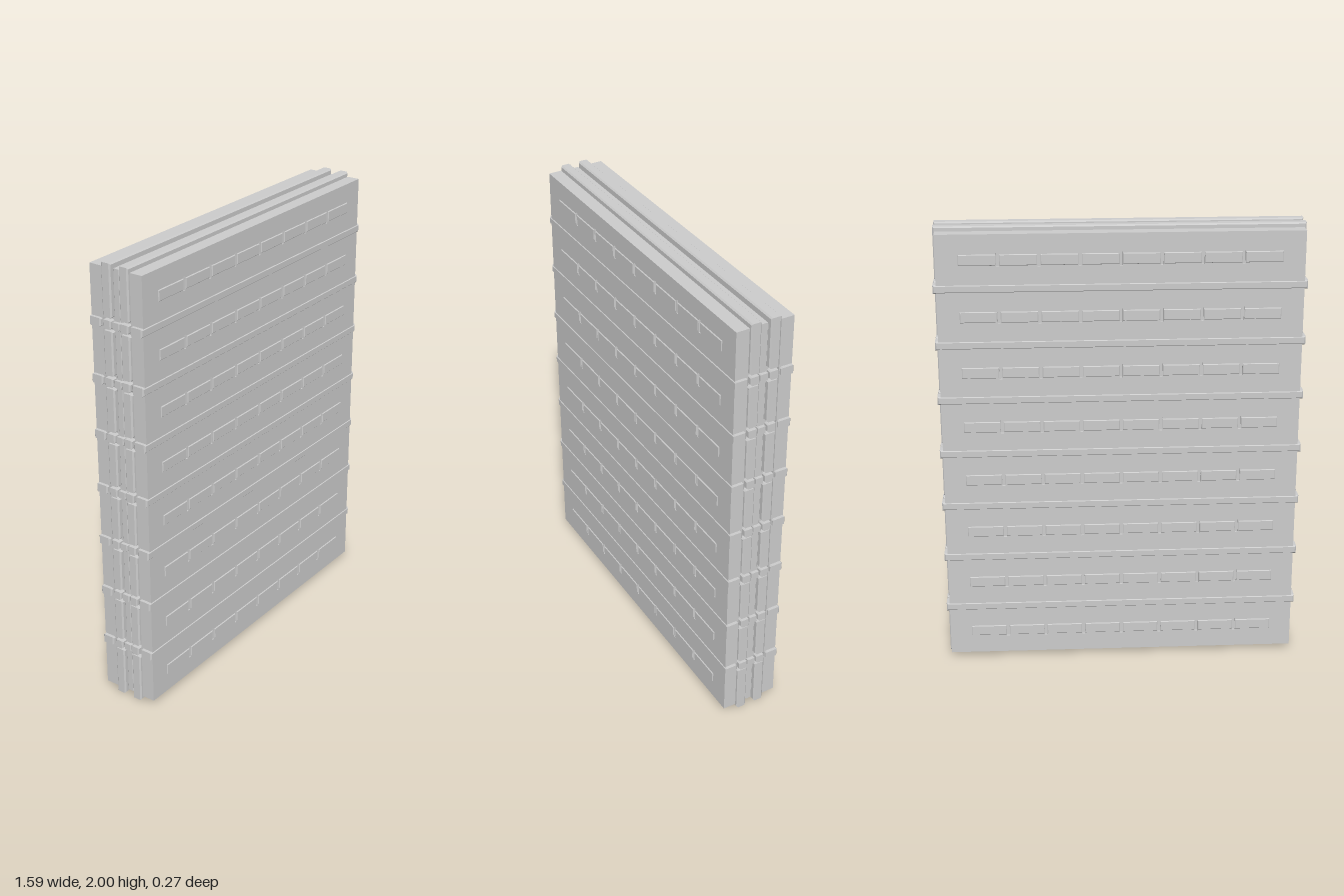
import * as THREE from 'three';

const material = new THREE.MeshStandardMaterial({ color: 0xcccccc, flatShading: true });

function add(parent, name, geometry, x, y, z) {
  const mesh = new THREE.Mesh(geometry, material);
  mesh.name = name;
  mesh.position.set(x, y, z);
  parent.add(mesh);
  return mesh;
}

function rect(target, x0, y0, x1, y1) {
  target.moveTo(x0, y0);
  target.lineTo(x1, y0);
  target.lineTo(x1, y1);
  target.lineTo(x0, y1);
  target.closePath();
  return target;
}

// Box with chamfered edges, centred on its origin
function chamferBox(w, h, d, c) {
  const shape = rect(new THREE.Shape(), -w / 2 + c, -h / 2 + c, w / 2 - c, h / 2 - c);
  const geometry = new THREE.ExtrudeGeometry(shape, {
    depth: d - 2 * c, bevelEnabled: true, bevelSize: c, bevelThickness: c, bevelSegments: 1,
  });
  return geometry.translate(0, 0, -d / 2 + c);
}

export function createModel() {
  const group = new THREE.Group();
  group.name = 'wallPanel';
  const pitch = 0.2485;
  const bandY = Array.from({ length: 7 }, (_, i) => 1 + (i - 3) * pitch);
  const rowY = Array.from({ length: 8 }, (_, i) => 1 + (i - 3.5) * pitch);
  const brickPitch = 0.1735;

  // Recessed core with a slightly raised centre strip
  add(group, 'core', new THREE.BoxGeometry(1.54, 1.94, 0.15), 0, 1, 0);
  add(group, 'centreStrip', chamferBox(1.56, 1.96, 0.03, 0.003), 0, 1, 0);

  // Facing sheet pierced by the slots between bricks
  const sheetShape = rect(new THREE.Shape(), -0.783, 0.02, 0.783, 1.98);
  for (const y of rowY) {
    for (let i = -3; i <= 3; i++) {
      const x = i * brickPitch;
      sheetShape.holes.push(rect(new THREE.Path(), x - 0.006, y - 0.03, x + 0.006, y + 0.03));
    }
  }
  const sheetGeometry = new THREE.ExtrudeGeometry(sheetShape, { depth: 0.01, bevelEnabled: false });
  const slabGeometry = new THREE.BoxGeometry(1.566, 1.96, 0.05);
  const brickGeometry = chamferBox(brickPitch - 0.014, 0.048, 0.012, 0.003);
  const ribBar = chamferBox(1.58, 0.04, 0.046, 0.006);
  const bandOuter = chamferBox(1.594, 0.038, 0.058, 0.006);
  const bandInner = chamferBox(1.594, 0.038, 0.04, 0.005);

  for (const s of [1, -1]) {
    const side = new THREE.Group();
    side.name = s > 0 ? 'frontHalf' : 'backHalf';
    side.rotation.y = s > 0 ? 0 : Math.PI;
    group.add(side);

    add(side, 'slab', slabGeometry, 0, 1, 0.096);
    add(side, 'facingSheet', sheetGeometry, 0, 0, 0.12);

    // Rows of raised bricks
    for (const y of rowY) {
      for (let i = 0; i < 8; i++) add(side, 'brick', brickGeometry, (i - 3.5) * brickPitch, y, 0.128);
    }

    // Edge rib: top and bottom bars, upright segments between bands
    for (const y of [0.02, 1.98]) add(side, 'ribBar', ribBar, 0, y, 0.044);
    const stops = [-0.028, ...bandY, 2.028];
    for (let i = 0; i < 8; i++) {
      const y0 = stops[i] + 0.028;
      const y1 = stops[i + 1] - 0.028;
      const upright = chamferBox(0.04, y1 - y0, 0.046, 0.006);
      for (const x of [-0.772, 0.772]) add(side, 'ribUpright', upright, x, (y0 + y1) / 2, 0.044);
    }

    // Horizontal bands standing proud of the faces and ends
    for (const y of bandY) {
      add(side, 'outerBand', bandOuter, 0, y, 0.104);
      add(side, 'innerBand', bandInner, 0, y, 0.044);
    }
  }

  // Middle band pieces joining the two halves
  const bandMiddle = chamferBox(1.588, 0.032, 0.036, 0.004);
  for (const y of bandY) add(group, 'middleBand', bandMiddle, 0, y, 0);

  return group;
}
